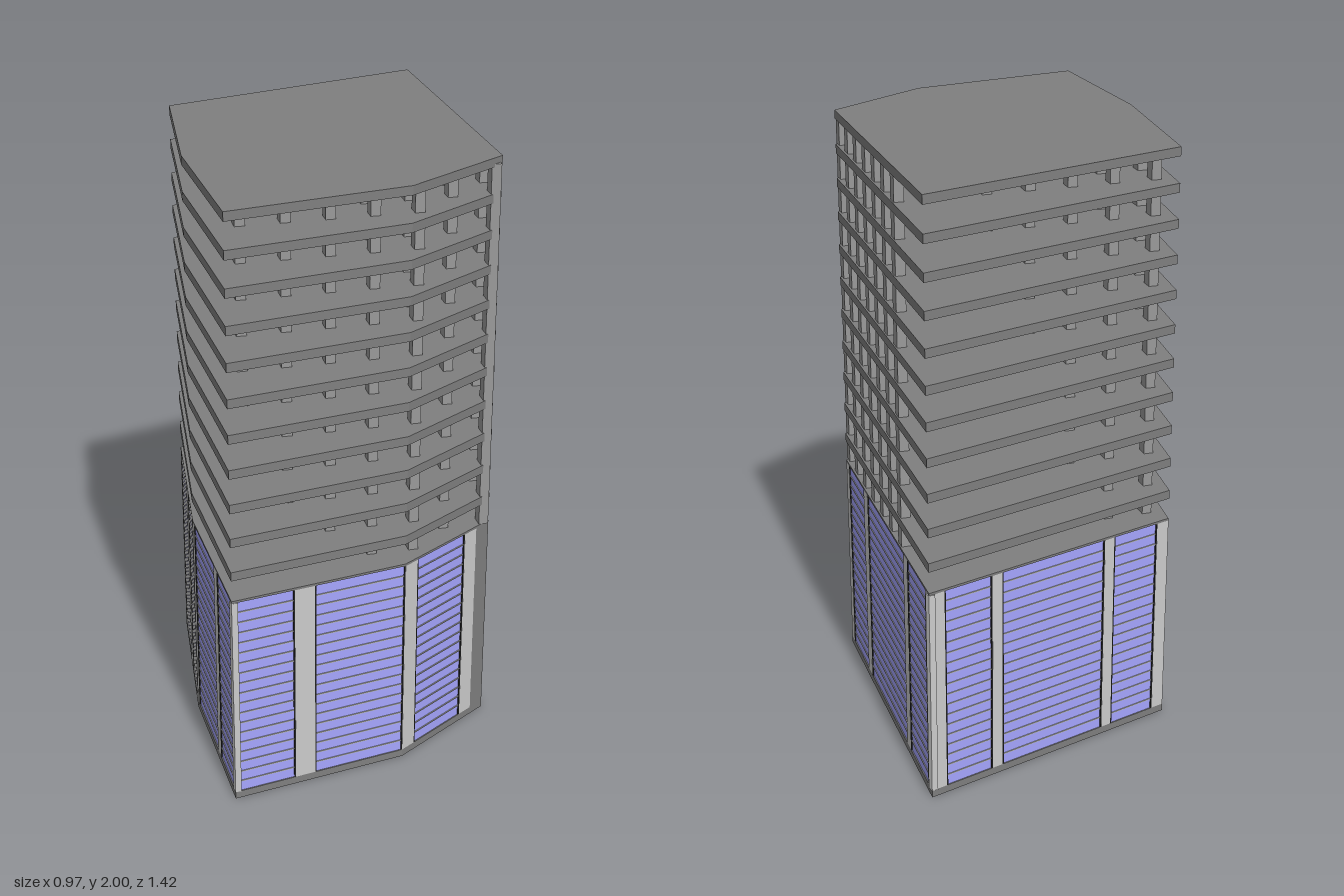
import * as THREE from 'three';

// Footprint corners [x, z], running round the building from the front left
const plan = [[-0.46, 0.705], [0.13, 0.595], [0.48, 0.365], [0.475, -0.715], [-0.43, -0.435], [-0.485, 0.14]];

// Facade bays per edge: [kind, end fraction]; p = pier, g = glazing, w = solid wall
const bays = [
  [['p', 0.02], ['g', 0.355], ['p', 0.47], ['g', 1]],
  [['p', 0.14], ['g', 0.71], ['p', 0.85], ['w', 1]],
  [['p', 0.035], ['g', 0.235], ['p', 0.28], ['g', 0.72], ['p', 0.76], ['g', 0.96], ['p', 1]],
  [['p', 0.06], ['g', 0.25], ['p', 0.29], ['g', 0.72], ['p', 0.76], ['g', 0.95], ['p', 1]],
  [['p', 0.02], ['g', 0.48], ['p', 0.6], ['g', 0.95], ['p', 1]],
  [['p', 0.04], ['g', 0.56], ['p', 0.63], ['g', 0.97], ['p', 1]],
];

const BASE = 0.025, WALL_TOP = 0.727, PODIUM_TOP = 0.735;

export function createModel() {
  const model = new THREE.Group();
  const mat = (color) => new THREE.MeshStandardMaterial({ color });
  const concrete = mat(0x7f7f7f), columnGrey = mat(0x999999), pierGrey = mat(0xcccccc);
  const glass = mat(0xa6a6ff), louverGrey = mat(0xb4b4b4), frameDark = mat(0x222222);

  const add = (parent, name, geometry, material, x, y, z) => {
    const mesh = new THREE.Mesh(geometry, material);
    mesh.name = name;
    mesh.position.set(x, y, z);
    parent.add(mesh);
    return mesh;
  };

  // Horizontal plate with the building's footprint
  const outline = new THREE.Shape(plan.map(([x, z]) => new THREE.Vector2(x, -z)));
  const plate = (name, bottom, height) => {
    const g = new THREE.ExtrudeGeometry(outline, { depth: height, bevelEnabled: false });
    g.rotateX(-Math.PI / 2);
    add(model, name, g, concrete, 0, bottom, 0);
  };
  plate('baseSlab', 0, BASE);
  plate('podiumRoof', WALL_TOP, PODIUM_TOP - WALL_TOP);
  for (let i = 0; i < 11; i++) plate('floorSlab', 1.97 - i * 0.1163, 0.03);

  // Podium facade, one group per side with local x along the wall and z outward
  const h = WALL_TOP - BASE, mid = BASE + h / 2;
  plan.forEach(([x, z], i) => {
    const [x2, z2] = plan[(i + 1) % plan.length];
    const length = Math.hypot(x2 - x, z2 - z);
    const side = new THREE.Group();
    side.name = 'podiumSide';
    side.position.set(x, 0, z);
    side.rotation.y = Math.atan2(z - z2, x2 - x);
    model.add(side);

    let start = 0;
    for (const [kind, end] of bays[i]) {
      const w = (end - start) * length, cx = (start + end) / 2 * length;
      if (kind !== 'g') {
        add(side, kind === 'p' ? 'pier' : 'cornerWall', new THREE.BoxGeometry(w, h, 0.02),
          kind === 'p' ? pierGrey : concrete, cx, mid, -0.01);
      } else {
        add(side, 'glazing', new THREE.BoxGeometry(w, h, 0.014), glass, cx, mid, -0.011);
        // Louvers across the glass and dark frames at its ends
        for (let k = 1; k < 19; k++)
          add(side, 'louver', new THREE.BoxGeometry(w, 0.004, 0.006), louverGrey, cx, BASE + k * h / 19, -0.004);
        for (const s of [-1, 1])
          add(side, 'windowFrame', new THREE.BoxGeometry(0.005, h, 0.006), frameDark, cx + s * (w / 2 - 0.0025), mid, -0.0035);
      }
      start = end;
    }
  });

  // Grid of tower columns, kept only where it falls inside the footprint
  const inside = (x, z) => plan.every(([ax, az], i) => {
    const [bx, bz] = plan[(i + 1) % plan.length];
    return (bx - ax) * (z - az) - (bz - az) * (x - ax) < 0;
  });
  const columnHeight = 1.98 - PODIUM_TOP;
  const columnGeometry = new THREE.BoxGeometry(0.032, columnHeight, 0.042);
  for (let i = 0; i < 7; i++)
    for (let j = 0; j < 8; j++) {
      const x = -0.375 + i * 0.1385, z = 0.485 - j * 0.12;
      if (inside(x, z))
        add(model, 'column', columnGeometry, columnGrey, x, PODIUM_TOP + columnHeight / 2, z);
    }

  return model;
}
